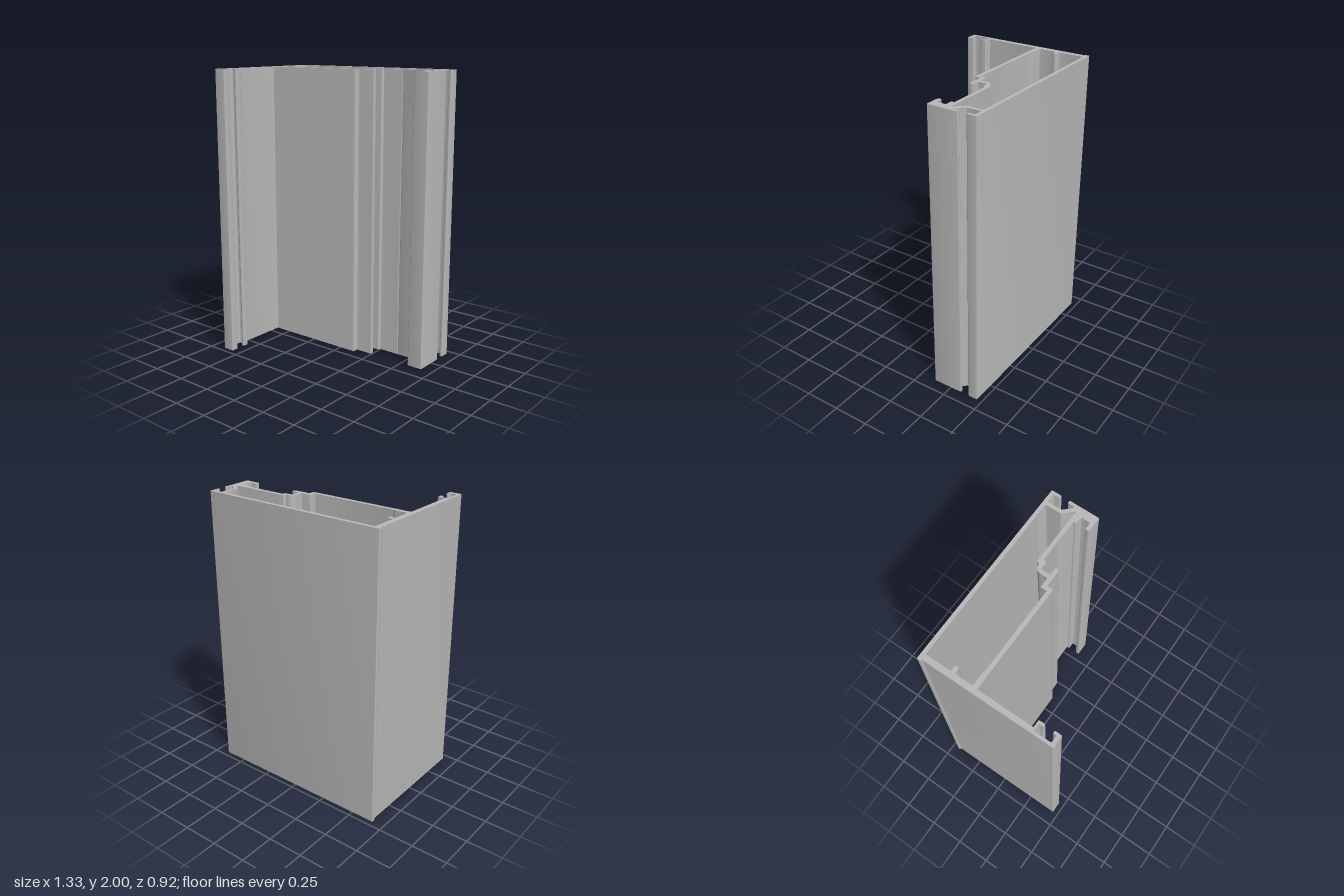
import * as THREE from 'three';
import { toCreasedNormals } from 'three/addons/utils/BufferGeometryUtils.js';

const HEIGHT = 2;
const FILLET = 0.006;

// Trace a closed [x, z] outline with a small fillet on every corner
function trace(path, corners) {
  const pts = corners.map(([x, z]) => new THREE.Vector2(x, z));
  const n = pts.length;
  pts.forEach((p, i) => {
    const toward = (q) => {
      const d = p.distanceTo(q);
      return p.clone().lerp(q, Math.min(FILLET, d * 0.4) / d);
    };
    const a = toward(pts[(i + n - 1) % n]);
    const b = toward(pts[(i + 1) % n]);
    if (i === 0) path.moveTo(a.x, a.y);
    else path.lineTo(a.x, a.y);
    path.quadraticCurveTo(p.x, p.y, b.x, b.y);
  });
  path.closePath();
  return path;
}

export function createModel() {
  const group = new THREE.Group();
  group.name = 'extrudedFrameProfile';
  const aluminium = new THREE.MeshStandardMaterial({ color: 0xb8b8b8 });
  aluminium.name = 'grey aluminium';

  const outline = trace(new THREE.Shape(), [
    // back wall and its right lip
    [-0.665, -0.462], [0.665, -0.462], [0.665, -0.39], [0.645, -0.39], [0.645, -0.436],
    // brace post and slanted web
    [0.585, -0.436], [0.585, -0.335], [0.635, -0.286], [0.645, -0.286],
    // right jamb with front gasket channel
    [0.645, -0.332], [0.665, -0.332], [0.665, -0.117], [0.555, -0.117], [0.555, -0.145],
    [0.607, -0.145], [0.607, -0.21], [0.555, -0.21], [0.555, -0.231],
    // scored groove in the channel floor
    [0.402, -0.231], [0.396, -0.236], [0.39, -0.231],
    // left side of the channel
    [0.243, -0.231], [0.243, -0.21], [0.188, -0.21], [0.188, -0.145], [0.243, -0.145], [0.243, -0.117],
    // front wall
    [0.119, -0.117], [0.119, -0.075], [-0.62, -0.075],
    // side flange with hooked end
    [-0.62, 0.305], [-0.57, 0.305], [-0.57, 0.35], [-0.588, 0.35], [-0.588, 0.32],
    [-0.635, 0.32], [-0.635, 0.433], [-0.588, 0.433], [-0.588, 0.41], [-0.57, 0.41],
    [-0.57, 0.46], [-0.655, 0.46], [-0.655, -0.434], [-0.665, -0.434],
  ]);

  // Rounded shoulder of the inner chamber
  const shoulder = [];
  for (let i = 0; i <= 5; i++) {
    const t = (i / 5) * Math.PI / 2;
    shoulder.push([0.205 - 0.044 * Math.sin(t), -0.195 - 0.044 * Math.cos(t)]);
  }
  outline.holes.push(trace(new THREE.Path(), [
    [-0.616, -0.436], [0.471, -0.436], [0.476, -0.44], [0.481, -0.436],
    [0.56, -0.436], [0.56, -0.324], [0.62, -0.264], [0.612, -0.258],
    [0.214, -0.258], [0.214, -0.239], ...shoulder,
    [0.161, -0.145], [0.09, -0.145], [0.09, -0.102],
    [-0.515, -0.102], [-0.525, -0.108], [-0.616, -0.108],
    // screw rib on the side wall
    [-0.616, -0.231], [-0.575, -0.231], [-0.575, -0.258], [-0.616, -0.258],
  ]));

  const geometry = new THREE.ExtrudeGeometry(outline, { depth: HEIGHT, bevelEnabled: false, curveSegments: 3 });
  geometry.rotateX(Math.PI / 2);
  geometry.translate(0, HEIGHT, 0);

  const profile = new THREE.Mesh(toCreasedNormals(geometry, 0.6), aluminium);
  profile.name = 'frameProfile';
  group.add(profile);
  return group;
}
